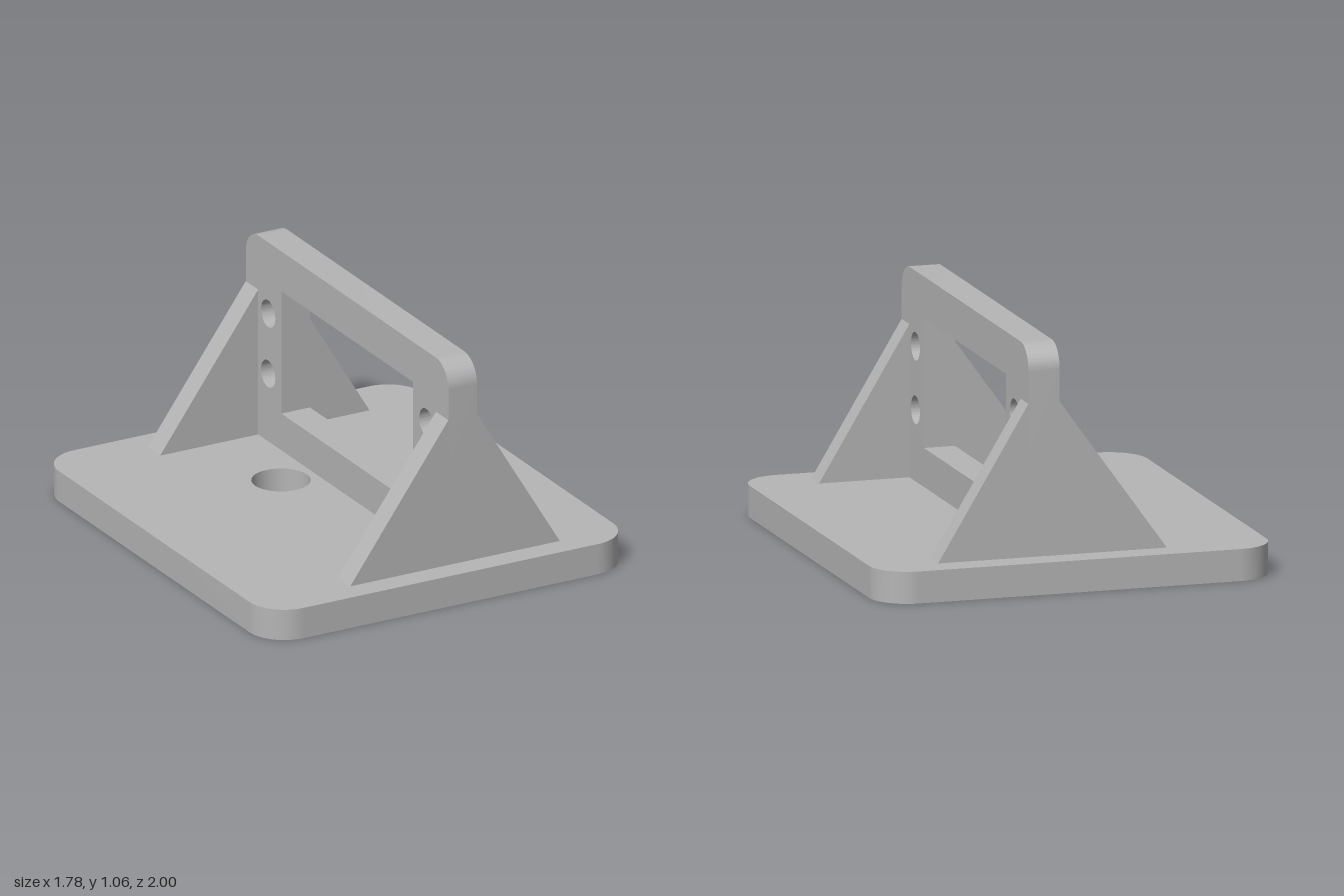
import * as THREE from 'three';
import { toCreasedNormals } from 'three/addons/utils/BufferGeometryUtils.js';

const BASE_TOP = 0.14;
const PLATE_X0 = 0.05, PLATE_X1 = 0.19;
const Z_BACK = -0.875, Z_FRONT = 0.89;

const circleHole = (x, y, r) => new THREE.Path().absarc(x, y, r, 0, Math.PI * 2, true);

const polygon = (points) => new THREE.Shape(points.map(([x, y]) => new THREE.Vector2(x, y)));

function extrude(shape, depth) {
  const geometry = new THREE.ExtrudeGeometry(shape, { depth, bevelEnabled: false, curveSegments: 32 });
  return toCreasedNormals(geometry, 0.5);
}

export function createModel() {
  const model = new THREE.Group();
  model.name = 'mountingBracket';
  const grey = new THREE.MeshStandardMaterial({ color: 0xb5b5b5 });
  grey.name = 'plainGrey';

  const add = (name, geometry) => {
    const mesh = new THREE.Mesh(geometry, grey);
    mesh.name = name;
    model.add(mesh);
  };

  // Base slab with rounded corners and a round hole, drawn in x and z
  const w = 0.89, d = 1, r = 0.17;
  const base = new THREE.Shape();
  base.absarc(w - r, d - r, r, 0, Math.PI / 2);
  base.absarc(-w + r, d - r, r, Math.PI / 2, Math.PI);
  base.absarc(-w + r, -d + r, r, Math.PI, Math.PI * 1.5);
  base.absarc(w - r, -d + r, r, Math.PI * 1.5, Math.PI * 2);
  base.closePath();
  base.holes.push(circleHole(-0.112, -0.28, 0.127));
  add('base', extrude(base, BASE_TOP).rotateX(Math.PI / 2).translate(0, BASE_TOP, 0));

  // Upright frame, drawn in z and y: window, four screw holes, rounded top corners
  const top = 1.06, fr = 0.11;
  const frame = new THREE.Shape();
  frame.moveTo(Z_BACK, BASE_TOP);
  frame.lineTo(Z_FRONT, BASE_TOP);
  frame.absarc(Z_FRONT - fr, top - fr, fr, 0, Math.PI / 2);
  frame.absarc(Z_BACK + fr, top - fr, fr, Math.PI / 2, Math.PI);
  frame.closePath();
  frame.holes.push(polygon([[-0.565, 0.31], [-0.565, 0.875], [0.582, 0.875], [0.582, 0.31]]));
  for (const z of [0.698, -0.68]) {
    for (const y of [0.73, 0.452]) frame.holes.push(circleHole(z, y, 0.062));
  }
  add('uprightFrame', extrude(frame, PLATE_X1 - PLATE_X0).rotateY(-Math.PI / 2).translate(PLATE_X1, 0, 0));

  // Triangular gussets on both sides of the frame, at each end
  const t = 0.108, gussetTop = 0.81;
  const leftProfile = polygon([[PLATE_X1, BASE_TOP], [0.595, BASE_TOP], [PLATE_X1, gussetTop]]);
  const rightProfile = polygon([[-0.43, BASE_TOP], [PLATE_X0, BASE_TOP], [PLATE_X0, gussetTop]]);
  for (const [end, z] of [['front', Z_FRONT - t], ['back', Z_BACK]]) {
    add(end + 'LeftGusset', extrude(leftProfile, t).translate(0, 0, z));
    add(end + 'RightGusset', extrude(rightProfile, t).translate(0, 0, z));
  }

  return model;
}
